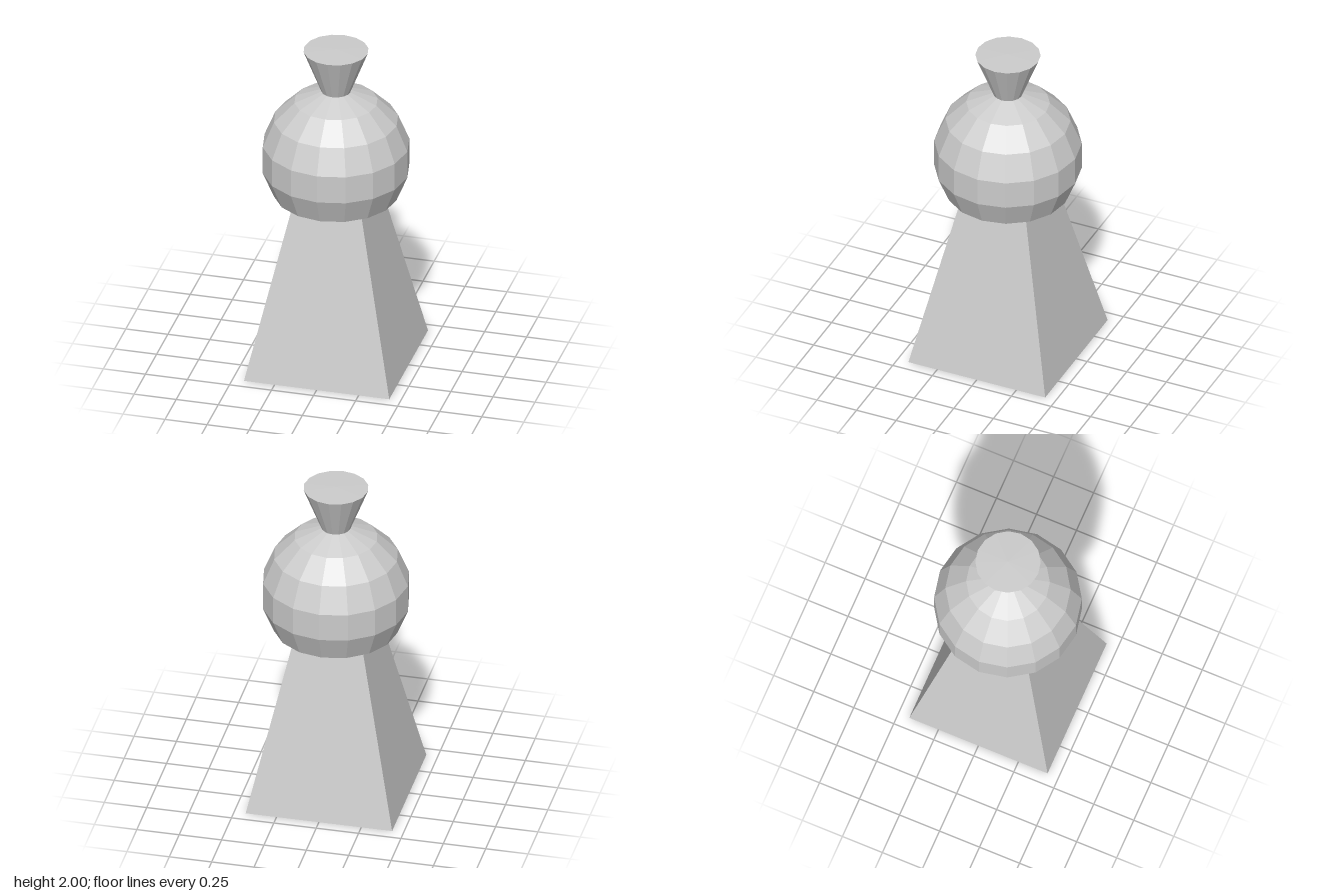
import * as THREE from 'three';

const material = new THREE.MeshStandardMaterial({
  color: 0xcccccc, flatShading: true, side: THREE.DoubleSide,
});

const SIDES = 16;
const BODY_HALF = 0.432;   // half width of the square base
const HEAD_R = 0.433;      // radius of the head's sphere
const HEAD_Y = 1.305;      // height of the sphere's centre
const STEP = Math.PI / 8;  // angle between the head's rings

function addPart(group, name, geometry) {
  const mesh = new THREE.Mesh(geometry, material);
  mesh.name = name;
  group.add(mesh);
  return mesh;
}

// Faceted turned part from [radius, height] pairs, bottom to top
function turned(profile) {
  return new THREE.LatheGeometry(profile.map(([r, y]) => new THREE.Vector2(r, y)), SIDES);
}

export function createModel() {
  const group = new THREE.Group();
  group.name = 'gamePiece';

  // Hollow square pyramid, open underneath, its tip hidden in the neck
  const body = new THREE.ConeGeometry(BODY_HALF * Math.SQRT2, 1.995, 4, 1, true);
  body.rotateY(Math.PI / 4);
  body.translate(0, 1.995 / 2, 0);
  addPart(group, 'body', body);

  // Rounded head, open underneath: rings of a sphere
  const rings = [];
  for (let i = 5; i >= 0; i--) {
    const a = (i + 0.5) * STEP;
    rings.push([HEAD_R * Math.sin(a), HEAD_Y + HEAD_R * Math.cos(a)]);
  }
  addPart(group, 'head', turned(rings));

  // Flared finial with a very shallow cap
  const [neckR, neckY] = rings[5];
  addPart(group, 'finial', turned([[neckR, neckY], [0.188, 1.994]]));
  addPart(group, 'finialCap', turned([[0.188, 1.994], [0, 2]]));

  return group;
}
